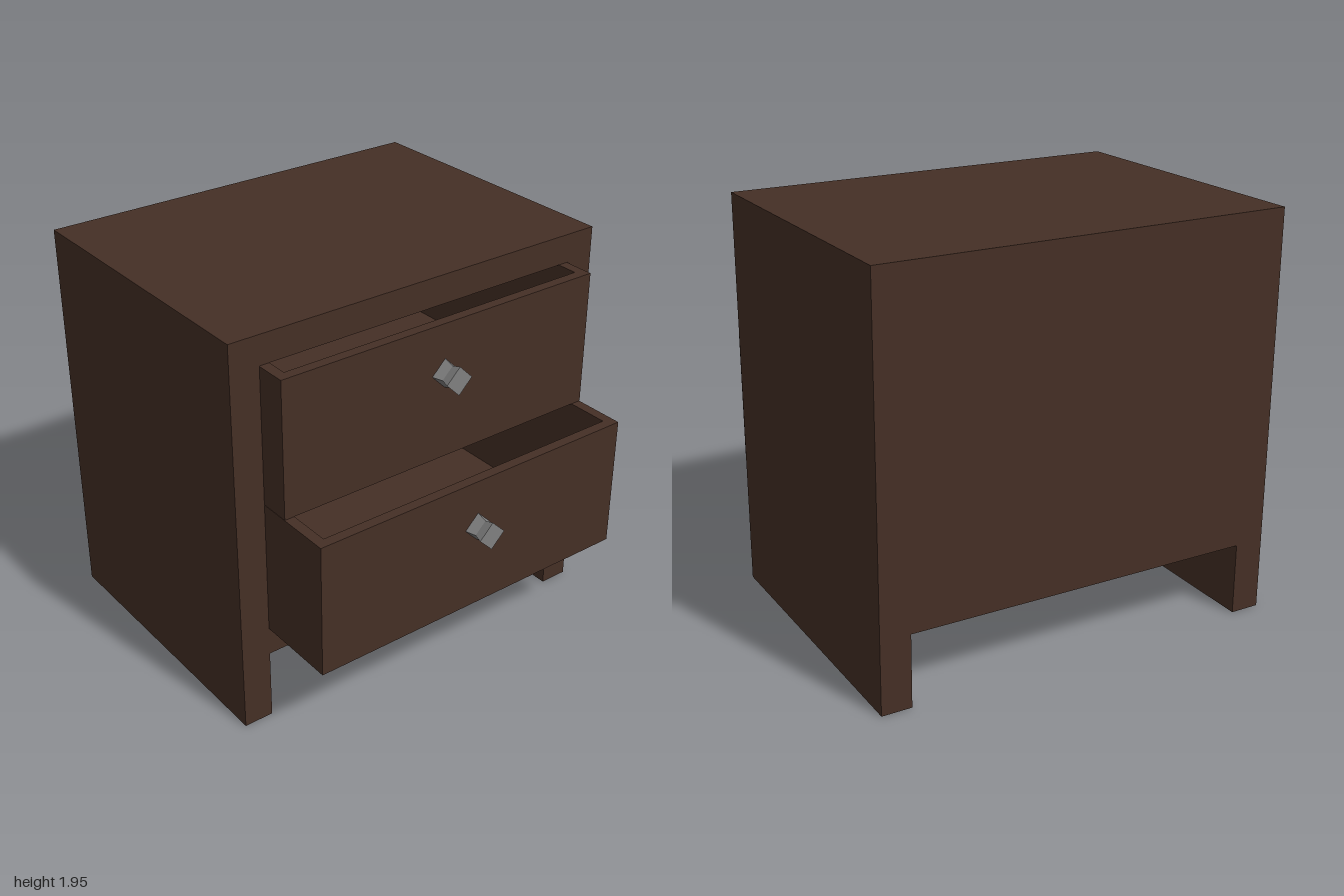
import * as THREE from 'three';

const wood = new THREE.MeshStandardMaterial({ color: 0x452f25 });
wood.name = 'dark brown wood';
const metal = new THREE.MeshStandardMaterial({ color: 0x808080 });
metal.name = 'grey metal';

const BACK = -0.985, INNER = -0.84, FRONT = 0.48; // cabinet depth along x
const HALF = 0.855;                               // half width of the drawer opening
const WALL = 0.05;                                // drawer board thickness

function add(parent, name, geometry, material) {
  const mesh = new THREE.Mesh(geometry, material);
  mesh.name = name;
  parent.add(mesh);
  return mesh;
}

// Box given by its minimum and maximum corners
function board(parent, name, [x0, y0, z0], [x1, y1, z1]) {
  const g = new THREE.BoxGeometry(x1 - x0, y1 - y0, z1 - z0);
  g.translate((x0 + x1) / 2, (y0 + y1) / 2, (z0 + z1) / 2);
  return add(parent, name, g, wood);
}

// Cabinet cross-section: two side legs joined above a floor gap
function cabinetSection(withOpening) {
  const s = new THREE.Shape([
    [-1, 0], [-HALF, 0], [-HALF, 0.35], [HALF, 0.35],
    [HALF, 0], [1, 0], [1, 1.95], [-1, 1.95],
  ].map(([x, y]) => new THREE.Vector2(x, y)));
  if (withOpening) {
    s.holes.push(new THREE.Path([
      [-HALF, 0.488], [-HALF, 1.81], [HALF, 1.81], [HALF, 0.488],
    ].map(([x, y]) => new THREE.Vector2(x, y))));
  }
  return s;
}

function extrudeAlongX(shape, x0, x1) {
  const g = new THREE.ExtrudeGeometry(shape, { depth: x1 - x0, bevelEnabled: false });
  return g.rotateY(Math.PI / 2).translate(x0, 0, 0);
}

// Four-sided knob with a narrow waist, pointing along +x
function knobGeometry() {
  const profile = [[0, 0], [0.07, 0], [0.055, 0.05], [0.07, 0.098], [0, 0.098]]
    .map(([r, h]) => new THREE.Vector2(r, h));
  const g = new THREE.LatheGeometry(profile, 4).rotateZ(-Math.PI / 2).toNonIndexed();
  g.computeVertexNormals();
  return g;
}

// Open-topped drawer box with its front face at x = front
function makeDrawer(name, front, y0, y1) {
  const drawer = new THREE.Group();
  drawer.name = name;
  const back = front - (FRONT - INNER), w = HALF - 0.001;
  board(drawer, 'drawerFloor', [back + WALL, y0, -w + WALL], [front - WALL, y0 + WALL, w - WALL]);
  board(drawer, 'drawerFront', [front - WALL, y0, -w], [front, y1, w]);
  board(drawer, 'drawerBack', [back, y0, -w], [back + WALL, y1, w]);
  for (const [side, z] of [['Left', -w], ['Right', w - WALL]]) {
    board(drawer, 'drawerSide' + side, [back + WALL, y0, z], [front - WALL, y1, z + WALL]);
  }
  add(drawer, 'knob', knobGeometry(), metal).position.set(front, (y0 + y1) / 2 + 0.092, 0);
  return drawer;
}

export function createModel() {
  const model = new THREE.Group();
  model.name = 'nightstand';

  // Cabinet body and back
  add(model, 'cabinetFrame', extrudeAlongX(cabinetSection(true), INNER, FRONT), wood);
  add(model, 'cabinetBack', extrudeAlongX(cabinetSection(false), BACK, INNER), wood);

  // Drawers, pulled out by different amounts
  model.add(makeDrawer('upperDrawer', 0.63, 1.147, 1.808));
  model.add(makeDrawer('lowerDrawer', 0.885, 0.489, 1.145));
  return model;
}
